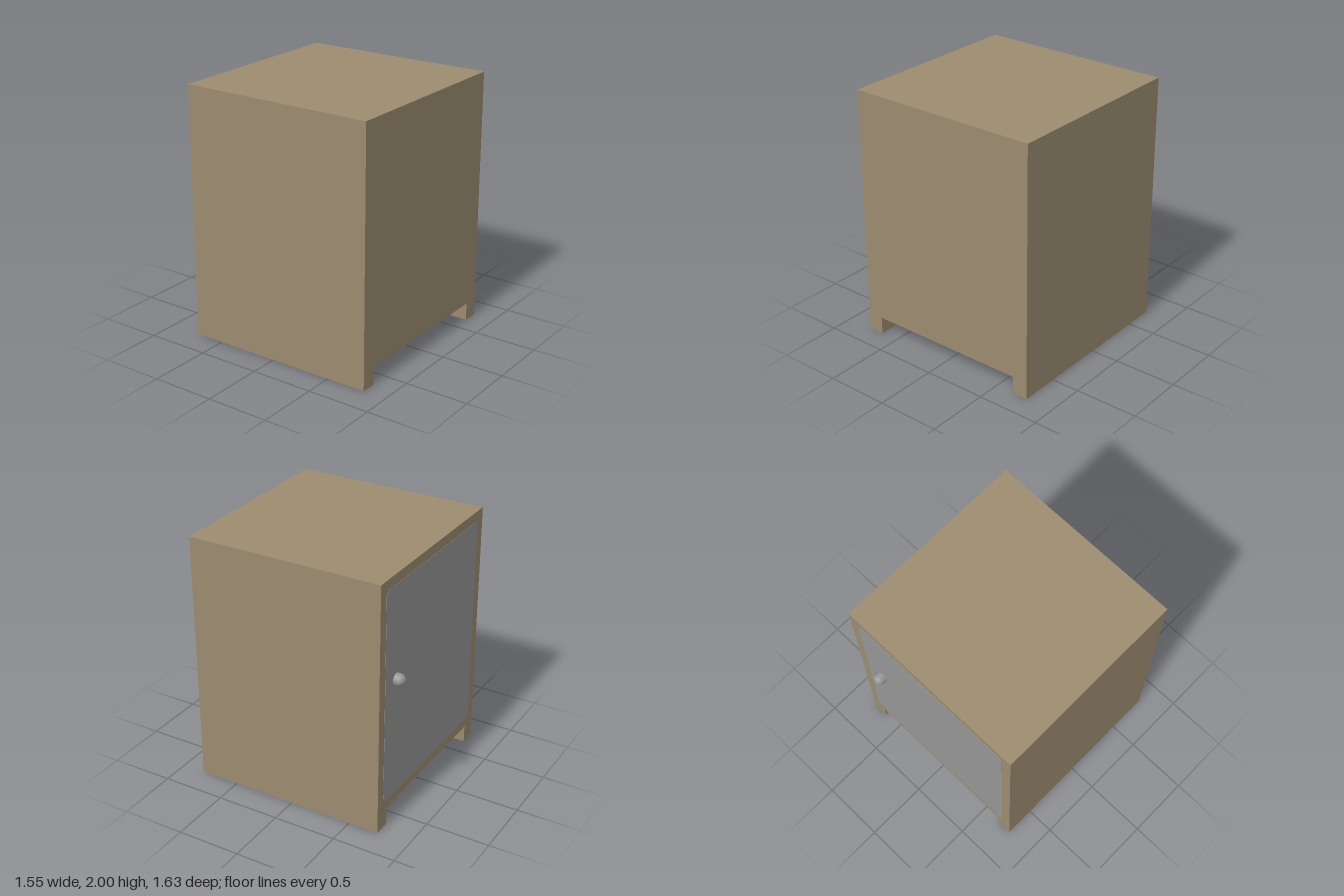
import * as THREE from 'three';

const wood = new THREE.MeshStandardMaterial({ color: 0x9c8c70 });
wood.name = 'tanWood';
const grey = new THREE.MeshStandardMaterial({ color: 0x969696 });
grey.name = 'greyPaint';

const HALF = 0.777, FRONT = 0.817, BACK = -0.74;

function part(name, geometry, material) {
  const mesh = new THREE.Mesh(geometry, material);
  mesh.name = name;
  return mesh;
}

function roundedRect(x0, y0, x1, y1, r) {
  const s = new THREE.Shape();
  s.absarc(x1 - r, y0 + r, r, -Math.PI / 2, 0);
  s.absarc(x1 - r, y1 - r, r, 0, Math.PI / 2);
  s.absarc(x0 + r, y1 - r, r, Math.PI / 2, Math.PI);
  s.absarc(x0 + r, y0 + r, r, Math.PI, Math.PI * 1.5);
  s.closePath();
  return s;
}

export function createModel() {
  const group = new THREE.Group();
  group.name = 'cabinet';

  // Cabinet box with two side runners, extruded from its front outline
  const inner = 0.652, floor = 0.14;
  const outline = new THREE.Shape([
    [-HALF, 0], [-inner, 0], [-inner, floor], [inner, floor],
    [inner, 0], [HALF, 0], [HALF, 2], [-HALF, 2],
  ].map(([x, y]) => new THREE.Vector2(x, y)));
  const body = part('cabinetBody', new THREE.ExtrudeGeometry(outline, {
    depth: FRONT - BACK, bevelEnabled: false,
  }), wood);
  body.position.z = BACK;
  group.add(body);

  // Thin door panel with rounded corners
  const door = part('doorPanel', new THREE.ExtrudeGeometry(
    roundedRect(-0.698, 0.215, 0.698, 1.92, 0.045),
    { depth: 0.003, bevelEnabled: false, curveSegments: 6 },
  ), grey);
  door.position.z = BACK - 0.002;
  group.add(door);

  // Knob: short stem with a domed end
  const r = 0.047, stem = 0.034;
  const profile = [new THREE.Vector2(r, 0)];
  for (let i = 0; i <= 8; i++) {
    const a = (i / 8) * Math.PI / 2;
    profile.push(new THREE.Vector2(i === 8 ? 0 : r * Math.cos(a), stem + (r - 0.004) * Math.sin(a)));
  }
  const knob = part('doorKnob', new THREE.LatheGeometry(profile, 24), grey);
  knob.rotation.x = -Math.PI / 2;
  knob.position.set(0.543, 1.18, BACK);
  group.add(knob);

  return group;
}
